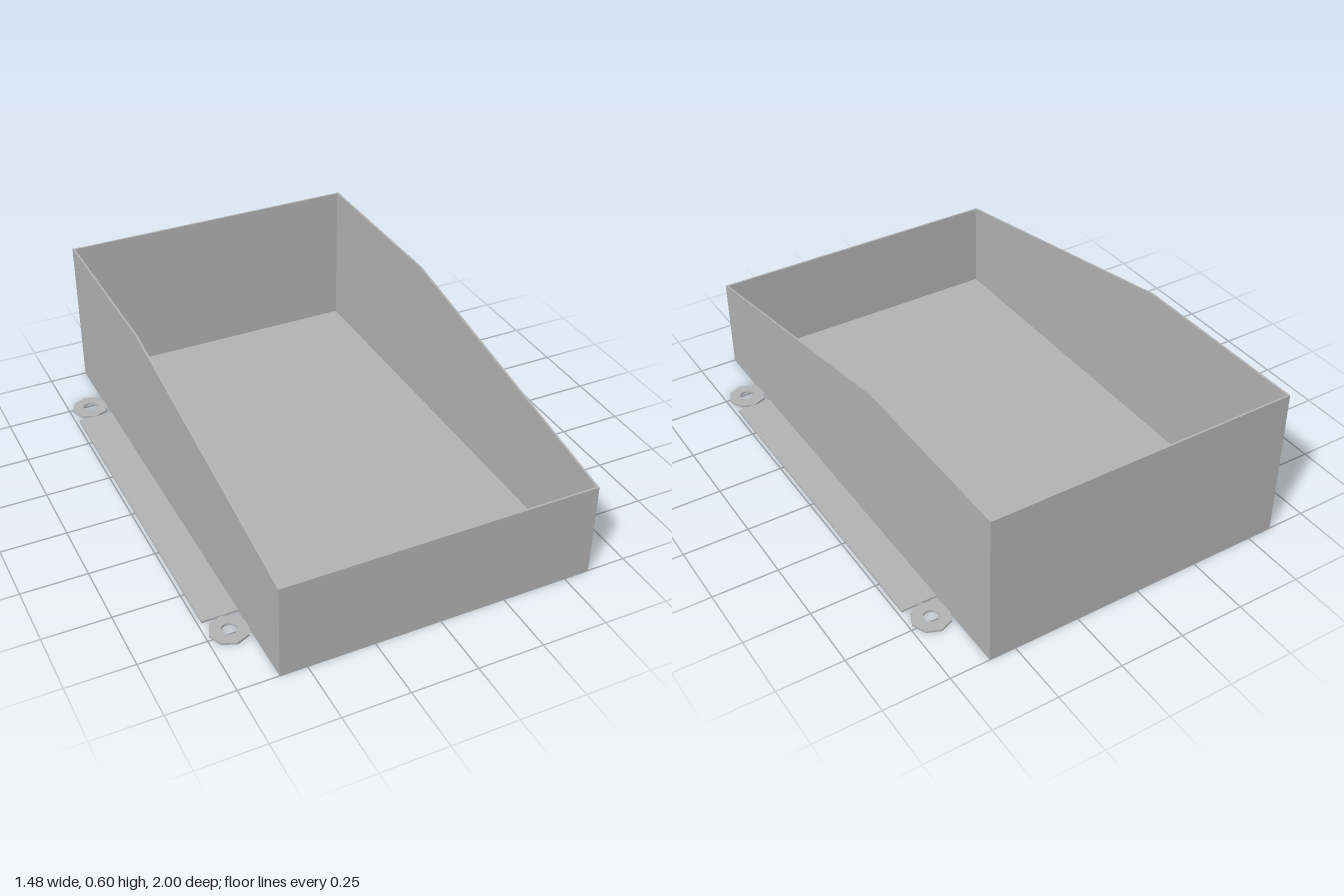
import * as THREE from 'three';

const W = 0.6, L = 1, H = 0.6, FRONT_H = 0.37, T = 0.008;

export function createModel() {
  const model = new THREE.Group();
  model.name = 'slopedTray';
  const grey = new THREE.MeshStandardMaterial({ color: 0xb2b2b2 });
  grey.name = 'plain grey';

  const add = (name, geometry, x, y, z) => {
    const mesh = new THREE.Mesh(geometry, grey);
    mesh.name = name;
    mesh.position.set(x, y, z);
    model.add(mesh);
    return mesh;
  };

  // Floor, front and back plates fit between the side walls
  const inner = 2 * (W - T);
  add('floor', new THREE.BoxGeometry(inner, T, 2 * (L - T)), 0, T / 2, 0);
  add('frontWall', new THREE.BoxGeometry(inner, FRONT_H, T), 0, FRONT_H / 2, L - T / 2);
  add('backWall', new THREE.BoxGeometry(inner, H - 0.002, T), 0, H / 2 - 0.001, -L + T / 2);

  // Side wall outline: level at the back, sloping down to the front
  const profile = new THREE.Shape([
    [-L, 0], [L, 0], [L, H], [0.25, H], [-L, FRONT_H],
  ].map(([u, y]) => new THREE.Vector2(u, y)));
  const wall = new THREE.ExtrudeGeometry(profile, { depth: T, bevelEnabled: false });
  wall.rotateY(Math.PI / 2); // the outline's +u now runs toward the back
  wall.translate(-T / 2, 0, 0);

  // Octagonal mounting ring with a round screw hole
  const R = 0.073;
  const outline = new THREE.Shape(Array.from({ length: 8 }, (_, i) => {
    const a = i * Math.PI / 4;
    return new THREE.Vector2(R * Math.cos(a), R * Math.sin(a));
  }));
  const hole = new THREE.Path();
  hole.absarc(0, 0, 0.028, 0, Math.PI * 2, true);
  outline.holes.push(hole);
  const ring = new THREE.ExtrudeGeometry(outline, { depth: T, bevelEnabled: false, curveSegments: 16 });
  ring.rotateX(-Math.PI / 2);

  for (const [side, s] of [['left', 1], ['right', -1]]) {
    add(side + 'Wall', wall, s * (W - T / 2), 0, 0);
    add(side + 'Flange', new THREE.BoxGeometry(0.136, T, 1.32), s * 0.668, T / 2, 0);
    add(side + 'FrontMountingRing', ring, s * 0.665, 0, 0.734);
    add(side + 'BackMountingRing', ring, s * 0.665, 0, -0.734);
  }
  return model;
}
